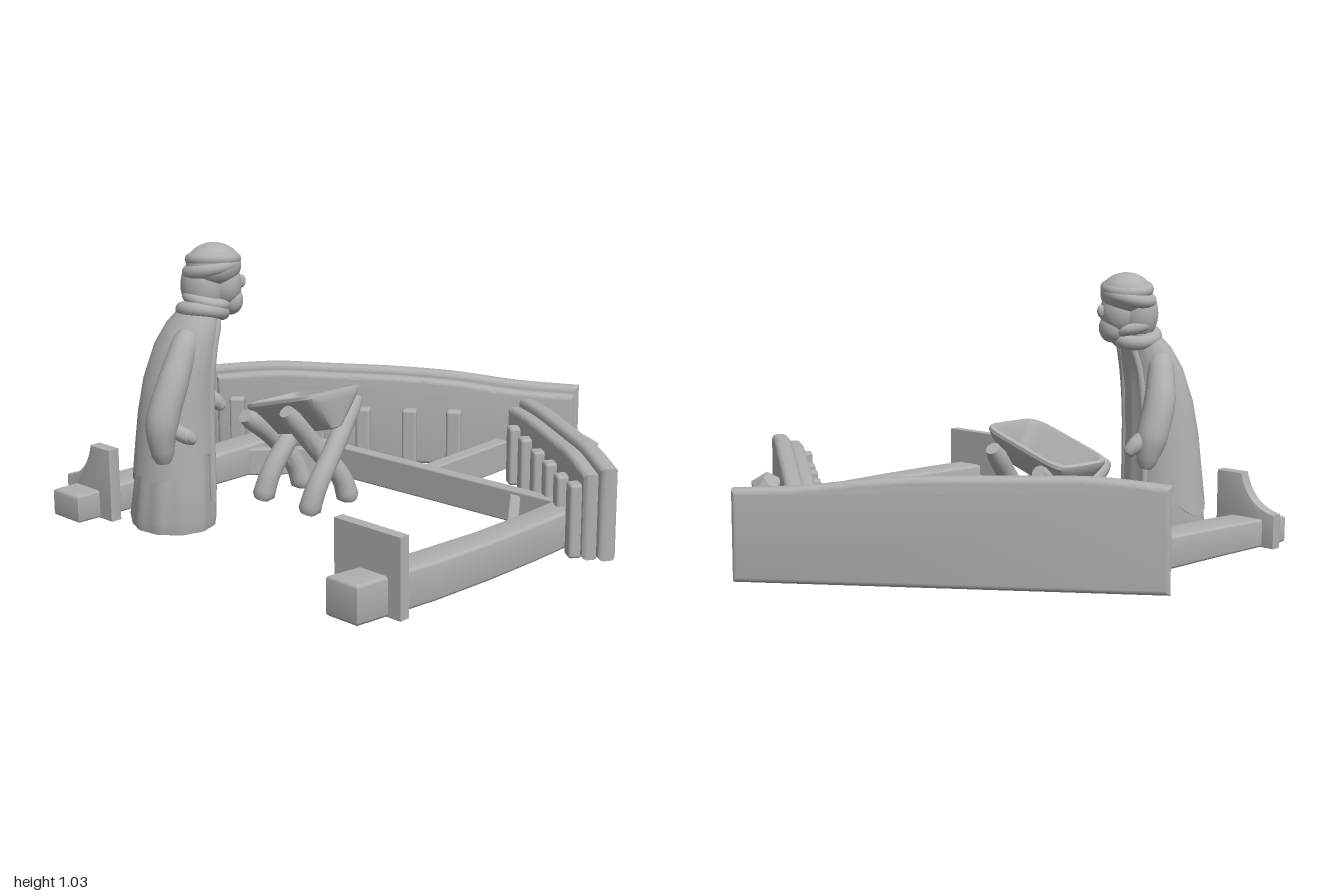
import * as THREE from 'three';
import { toCreasedNormals } from 'three/addons/utils/BufferGeometryUtils.js';
import { RoundedBoxGeometry } from 'three/addons/geometries/RoundedBoxGeometry.js';

const stone = new THREE.MeshStandardMaterial({ color: 0xb0b0b0 });
stone.name = 'grey stone';
const V = (x, y, z) => new THREE.Vector3(x, y, z);
const { lerp } = THREE.MathUtils;

function add(parent, name, geo, x = 0, y = 0, z = 0) {
  const m = new THREE.Mesh(geo, stone);
  m.name = name;
  m.position.set(x, y, z);
  parent.add(m);
  return m;
}

// Skin over equal rings (counter-clockwise about the direction of travel), capped at both ends
function loft(rings, crease = 0.7) {
  const n = rings[0].length, pos = [], idx = [];
  rings.forEach(r => r.forEach(p => pos.push(p.x, p.y, p.z)));
  for (let i = 0; i < rings.length - 1; i++) for (let j = 0; j < n; j++) {
    const a = i * n + j, b = i * n + (j + 1) % n;
    idx.push(a, b, b + n, a, b + n, a + n);
  }
  [0, rings.length - 1].forEach((k, end) => {
    const c = rings[k].reduce((s, p) => s.add(p), V(0, 0, 0)).divideScalar(n);
    const ci = pos.length / 3;
    pos.push(c.x, c.y, c.z);
    for (let j = 0; j < n; j++) {
      const a = k * n + j, b = k * n + (j + 1) % n;
      end ? idx.push(ci, a, b) : idx.push(ci, b, a);
    }
  });
  const g = new THREE.BufferGeometry();
  g.setAttribute('position', new THREE.Float32BufferAttribute(pos, 3));
  g.setIndex(idx);
  return toCreasedNormals(g, crease);
}

// Rounded limb through points, with a radius at each point; never goes below the ground
function limb(points, radii) {
  const curve = new THREE.CatmullRomCurve3(points.map(p => V(...p)));
  const N = 16, f = curve.computeFrenetFrames(N), rings = [];
  for (let i = 0; i <= N; i++) {
    const t = i / N, s = t * (radii.length - 1), k = Math.min(Math.floor(s), radii.length - 2);
    const r = lerp(radii[k], radii[k + 1], s - k) * (i === 0 || i === N ? 0.75 : 1);
    const c = curve.getPoint(t);
    rings.push(Array.from({ length: 20 }, (_, j) => {
      const a = j / 20 * Math.PI * 2;
      const p = c.clone().addScaledVector(f.normals[i], r * Math.cos(a)).addScaledVector(f.binormals[i], r * Math.sin(a));
      p.y = Math.max(p.y, 0);
      return p;
    }));
  }
  return loft(rings, 0.9);
}

// Bevelled slab from an outline
function slab(shape, depth, bevel = 0.015) {
  const g = new THREE.ExtrudeGeometry(shape, {
    depth: depth - 2 * bevel, bevelThickness: bevel, bevelSize: bevel, bevelOffset: -bevel,
    bevelSegments: 3, curveSegments: 10 });
  g.translate(0, 0, bevel);
  return toCreasedNormals(g, 0.6);
}
const outline = pts => new THREE.Shape(pts.map(p => new THREE.Vector2(...p)));
// Beam lying on the ground, outlined by x and z
const beam = (pts, h, bevel = 0.012) => slab(outline(pts.map(([x, z]) => [x, -z])), h, bevel).rotateX(-Math.PI / 2);

// Straight beam between two ground points
function strut(parent, name, [x0, z0], [x1, z1], w, h) {
  const dx = x1 - x0, dz = z1 - z0;
  const m = add(parent, name, new RoundedBoxGeometry(Math.hypot(dx, dz), h, w, 2, 0.008), (x0 + x1) / 2, h / 2, (z0 + z1) / 2);
  m.rotation.y = Math.atan2(-dz, dx);
}

// Roof: two layered boards with a gently waved upper edge, plus battens inside
function roof(parent, name, [x0, z0], [x1, z1], heights, battens) {
  const g = new THREE.Group();
  const L = Math.hypot(x1 - x0, z1 - z0);
  g.name = name;
  g.position.set(x0, 0, z0);
  g.rotation.y = Math.atan2(z0 - z1, x1 - x0);
  const board = (a, b, drop) => {
    const s = new THREE.Shape();
    s.moveTo(a, 0);
    s.lineTo(b, 0);
    const top = heights.map((h, i) => new THREE.Vector2(lerp(a, b, i / (heights.length - 1)), h - drop)).reverse();
    s.lineTo(top[0].x, top[0].y);
    s.splineThru(top.slice(1));
    return s;
  };
  add(g, 'outerBoard', slab(board(0, L, 0), 0.066, 0.02));
  add(g, 'innerBoard', slab(board(0.03, L - 0.02, 0.025), 0.06, 0.018)).position.z = 0.058;
  battens.forEach(([u, h]) => add(g, 'batten', new RoundedBoxGeometry(0.06, h, 0.05, 2, 0.012), u, h / 2, 0.135));
  parent.add(g);
}

function buildStable() {
  const g = new THREE.Group();
  g.name = 'stable';
  roof(g, 'leftSlopeRoof', [-1, -0.04], [0.215, -0.94], [0.375, 0.398, 0.395, 0.39, 0.375, 0.345, 0.33],
    [[0.12, 0.27], [0.45, 0.24], [0.64, 0.24], [0.83, 0.24], [1.01, 0.24]]);
  roof(g, 'rightSlopeRoof', [0.13, -0.755], [1, -0.1], [0.29, 0.315, 0.33, 0.342, 0.352, 0.335],
    [[0.2, 0.235], [0.37, 0.24], [0.55, 0.245], [0.71, 0.25], [0.86, 0.25], [1.02, 0.27]]);

  // Posts, the left one getting lower toward its foot
  const left = beam([[-0.74, -0.13], [-0.65, -0.11], [-0.63, -0.05], [-0.635, 0.2], [-0.65, 0.6], [-0.675, 0.93], [-0.82, 0.93], [-0.79, 0.55], [-0.77, 0.2], [-0.76, -0.08]], 0.13);
  const p = left.attributes.position;
  for (let i = 0; i < p.count; i++) p.setY(i, p.getY(i) * lerp(1, 0.78, Math.max(0, p.getZ(i))));
  add(g, 'leftPost', left);
  add(g, 'rightPost', beam([[0.69, -0.17], [0.8, -0.13], [0.805, 0.1], [0.8, 0.35], [0.785, 0.6], [0.74, 0.93], [0.605, 0.93], [0.66, 0.6], [0.69, 0.3], [0.695, 0.05]], 0.138));

  // Cross beam, king post and braces
  strut(g, 'crossBeam', [-0.62, -0.14], [0.7, -0.195], 0.05, 0.125);
  strut(g, 'kingPost', [0.045, -0.66], [0.06, -0.18], 0.06, 0.12);
  strut(g, 'leftBrace', [-0.43, -0.13], [-0.65, 0.1], 0.04, 0.11);
  strut(g, 'rightBrace', [0.49, -0.18], [0.71, 0.12], 0.04, 0.11);

  // Foot plates
  const s = new THREE.Shape();
  s.moveTo(-0.86, 0);
  s.lineTo(-0.6, 0);
  s.lineTo(-0.6, 0.275);
  s.lineTo(-0.71, 0.275);
  s.quadraticCurveTo(-0.74, 0.15, -0.86, 0.13);
  add(g, 'leftFootPlate', slab(s, 0.045, 0.003)).position.z = 0.79;
  add(g, 'rightFootPlate', new THREE.BoxGeometry(0.29, 0.28, 0.04), 0.665, 0.14, 0.785);

  // Faceted knob on the outside of the roof
  const knob = add(g, 'roofKnob', toCreasedNormals(new THREE.IcosahedronGeometry(0.068, 0), 0.1), 0.565, 0.22, -0.485);
  knob.rotation.set(0.4, 0.3, 0.2);
  return g;
}

function buildManger() {
  const g = new THREE.Group();
  g.name = 'manger';
  // Hollow trough: up the outside, over the rim, down the inside
  const ring = (a, b, y) => Array.from({ length: 40 }, (_, j) => {
    const t = j / 40 * Math.PI * 2, q = v => Math.sign(v) * Math.abs(v) ** 0.35;
    return V(a * q(Math.cos(t)), y, -b * q(Math.sin(t)));
  });
  const trough = add(g, 'trough', loft([ring(0.15, 0.02, -0.13), ring(0.17, 0.035, -0.125), ring(0.205, 0.125, -0.025),
    ring(0.212, 0.14, 0), ring(0.21, 0.138, 0.012), ring(0.195, 0.122, 0.015), ring(0.182, 0.108, 0), ring(0.15, 0.035, -0.09)]), -0.265, 0.405, 0.17);
  trough.rotation.set(0, -0.07, 0.28);
  // Crossed legs
  [[-0.39, -0.38, 0.34], [-0.165, -0.13, 0.4]].forEach(([xt, xb, top]) => [1, -1].forEach(s => {
    const z = 0.17 + s * 0.01;
    add(g, 'leg', limb([[xt - s * 0.02, top, z + s * 0.155], [(xt + xb) / 2 - s * 0.03, 0.22, z], [xb - s * 0.015, 0.1, z - s * 0.09], [xb, 0, z - s * 0.12]], [0.036, 0.038, 0.04, 0.044]));
  }));
  return g;
}

// Robe profile: y, centre x, centre z, radius x, radius z
const ROBE = [[0, -0.435, 0.675, 0.158, 0.145], [0.04, -0.435, 0.675, 0.165, 0.15], [0.2, -0.43, 0.665, 0.152, 0.138],
  [0.4, -0.425, 0.66, 0.14, 0.126], [0.6, -0.41, 0.645, 0.128, 0.105], [0.72, -0.39, 0.615, 0.11, 0.088],
  [0.77, -0.38, 0.59, 0.09, 0.08], [0.84, -0.365, 0.55, 0.06, 0.06]];
function robePoint(y, a, scale) {
  let k = 0;
  while (k < ROBE.length - 2 && ROBE[k + 1][0] < y) k++;
  const A = ROBE[k], B = ROBE[k + 1], t = (y - A[0]) / (B[0] - A[0]);
  const [, cx, cz, rx, rz] = A.map((v, i) => lerp(v, B[i], t));
  return V(cx + scale * rx * Math.cos(a), y, cz - scale * rz * Math.sin(a));
}

function buildFigure() {
  const g = new THREE.Group();
  g.name = 'standingFigure';
  const N = 64, FRONT = Math.PI / 3;
  const around = fn => Array.from({ length: N }, (_, j) => fn(j / N * Math.PI * 2));

  // Robe with soft folds, and an over-cloak open toward the front
  add(g, 'robe', loft(ROBE.map(r => around(a => robePoint(r[0], a, 1 + 0.02 * Math.cos(11 * a))))));
  const hem = a => 0.2 - 0.06 * Math.cos(a - Math.PI) + 0.03 * Math.cos(3 * a);
  const cover = a => Math.cos(a - FRONT) > 0.8 ? 0.93 : 1.07;
  const steps = [[0, 0.94], [0, 1], [0.2, 1], [0.4, 1], [0.6, 1], [0.8, 1], [0.92, 1], [1, 0.98]];
  add(g, 'cloak', loft(steps.map(([t, s]) => around(a => robePoint(lerp(hem(a), 0.8, t), a, s * cover(a))))));
  [-0.66, 0.66].forEach(d => add(g, 'cloakEdge', limb([0.1, 0.3, 0.5, 0.65, 0.77].map(y => robePoint(y, FRONT + d, 1.02).toArray()), [0.014, 0.016, 0.016, 0.016])));

  // Arms with wide sleeves
  add(g, 'leftSleeve', limb([[-0.47, 0.72, 0.59], [-0.52, 0.56, 0.52], [-0.52, 0.42, 0.47], [-0.51, 0.31, 0.45]], [0.045, 0.06, 0.06, 0.03]));
  add(g, 'leftHand', limb([[-0.51, 0.44, 0.46], [-0.49, 0.4, 0.41], [-0.475, 0.37, 0.385]], [0.03, 0.03, 0.02]));
  add(g, 'rightSleeve', limb([[-0.34, 0.73, 0.66], [-0.325, 0.57, 0.75], [-0.33, 0.42, 0.805], [-0.335, 0.28, 0.8]], [0.045, 0.056, 0.06, 0.035]));
  add(g, 'rightHand', limb([[-0.31, 0.4, 0.77], [-0.285, 0.37, 0.73], [-0.275, 0.35, 0.7]], [0.028, 0.028, 0.018]));

  // Head, beard and wrapped head cloth
  const ball = (name, c, r) => add(g, name, new THREE.SphereGeometry(1, 32, 20), ...c).scale.set(...r);
  ball('face', [-0.335, 0.885, 0.495], [0.07, 0.085, 0.065]);
  ball('nose', [-0.302, 0.89, 0.435], [0.014, 0.024, 0.016]);
  ball('beard', [-0.32, 0.825, 0.475], [0.05, 0.055, 0.042]);
  ball('headCloth', [-0.378, 0.88, 0.555], [0.085, 0.11, 0.075]);
  ball('turbanCap', [-0.355, 0.955, 0.52], [0.098, 0.08, 0.1]);
  const wrap = (name, y, x, z, R, r, tx, tz) => {
    const m = add(g, name, new THREE.TorusGeometry(R, r, 14, 40).rotateX(Math.PI / 2), x, y, z);
    m.rotation.set(tx, 0, tz);
  };
  wrap('lowerWrap', 0.945, -0.362, 0.525, 0.082, 0.026, 0.08, 0.2);
  wrap('upperWrap', 0.975, -0.358, 0.52, 0.077, 0.024, -0.1, 0.12);
  wrap('neckScarf', 0.79, -0.37, 0.565, 0.07, 0.028, -0.25, 0.12);
  wrap('scarfFold', 0.83, -0.365, 0.55, 0.068, 0.022, -0.2, -0.15);
  return g;
}

export function createModel() {
  const model = new THREE.Group();
  model.name = 'stableScene';
  model.add(buildStable(), buildManger(), buildFigure());
  return model;
}
